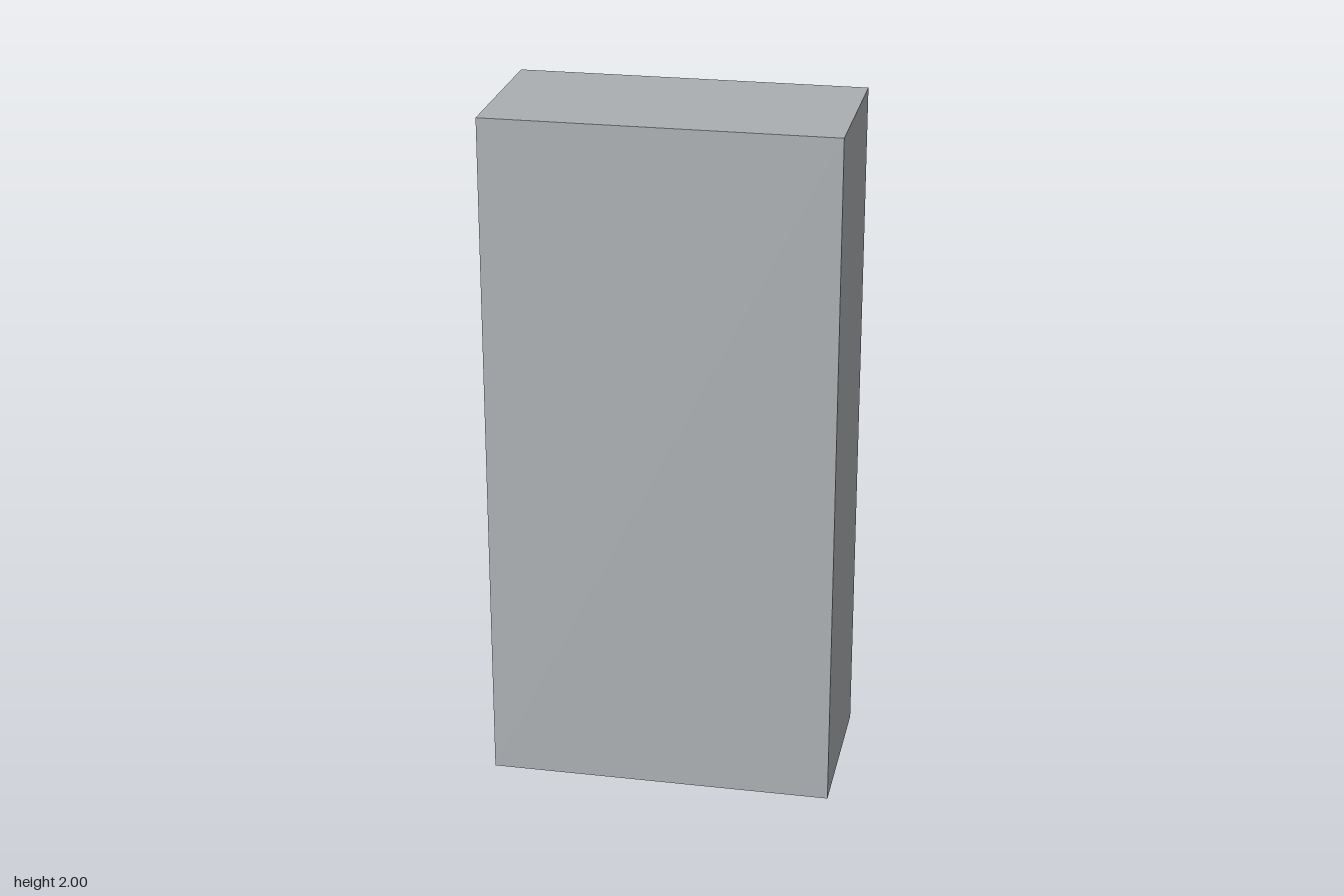
import * as THREE from 'three';

// Steel office cupboard; its doors are on the -z side.
export function createModel() {
  const model = new THREE.Group();
  model.name = 'cupboard';
  const mat = (name, color) => {
    const m = new THREE.MeshStandardMaterial({ color });
    m.name = name;
    return m;
  };
  const steel = mat('grey steel', 0xabafb2);
  const shade = mat('plinth grey', 0x7c8083);
  const dark = mat('dark grip', 0x505457);

  const add = (name, geo, m, parent = model) => {
    const mesh = new THREE.Mesh(geo, m);
    mesh.name = name;
    parent.add(mesh);
    return mesh;
  };
  // box given by its limits on each axis
  const box = (name, x0, x1, y0, y1, z0, z1, m = steel, parent = model) => {
    const mesh = add(name, new THREE.BoxGeometry(x1 - x0, y1 - y0, z1 - z0), m, parent);
    mesh.position.set((x0 + x1) / 2, (y0 + y1) / 2, (z0 + z1) / 2);
    return mesh;
  };
  // rectangular frame with a rectangular opening
  const frame = (name, x0, x1, y0, y1, b, z0, z1, parent = model) => {
    const rect = (P, l, r, d, u) => {
      const p = new P();
      p.moveTo(l, d);
      p.lineTo(r, d);
      p.lineTo(r, u);
      p.lineTo(l, u);
      p.closePath();
      return p;
    };
    const s = rect(THREE.Shape, x0, x1, y0, y1);
    s.holes.push(rect(THREE.Path, x0 + b, x1 - b, y0 + b, y1 - b));
    const mesh = add(name, new THREE.ExtrudeGeometry(s, { depth: z1 - z0, bevelEnabled: false }), steel, parent);
    mesh.position.z = z0;
  };

  // carcass and its front rim
  box('carcass', -0.5, 0.5, 0, 2, -0.19, 0.27);
  frame('frontRim', -0.5, 0.5, 0, 2, 0.018, -0.23, -0.19);
  box('topTrack', -0.482, 0.482, 1.965, 1.975, -0.22, -0.19);
  box('topRail', -0.482, 0.482, 1.95, 1.965, -0.226, -0.19);
  box('plinth', -0.482, 0.482, 0.018, 0.06, -0.215, -0.19, shade);
  box('bottomRail', -0.482, 0.482, 0.06, 0.072, -0.228, -0.19);
  // divider between the upper and lower compartments
  box('dividerRail', -0.482, 0.482, 1.03, 1.05, -0.229, -0.19);
  box('dividerTrack', -0.482, 0.482, 1.05, 1.062, -0.215, -0.19);

  // upper sliding doors, one behind the other
  const upper = (name, x0, x1, z) => {
    const g = new THREE.Group();
    g.name = name;
    model.add(g);
    box('panel', x0 + 0.01, x1 - 0.01, 1.07, 1.94, z + 0.005, z + 0.012, steel, g);
    frame('doorFrame', x0, x1, 1.062, 1.95, 0.02, z, z + 0.012, g);
    return g;
  };
  const rear = upper('rearSlidingDoor', 0.0, 0.482, -0.208);
  box('middleRail', 0.02, 0.462, 1.497, 1.513, -0.208, -0.2, steel, rear);
  upper('frontSlidingDoor', -0.482, 0.012, -0.224);
  box('rearDoorGrip', 0.04, 0.053, 1.46, 1.57, -0.235, -0.207, dark);
  box('frontDoorGrip', -0.053, -0.04, 1.46, 1.57, -0.235, -0.223, dark);

  // lower hinged doors with vents and bow handles
  for (const s of [1, -1]) {
    const g = new THREE.Group();
    g.name = s > 0 ? 'leftLowerDoor' : 'rightLowerDoor';
    model.add(g);
    const span = (name, a, b, y0, y1, z0, z1, m) =>
      box(name, Math.min(s * a, s * b), Math.max(s * a, s * b), y0, y1, z0, z1, m, g);
    span('door', 0.012, 0.48, 0.078, 1.02, -0.229, -0.19);
    span('raisedPanel', 0.025, 0.465, 0.09, 1.008, -0.231, -0.228);
    for (let i = 0; i < 5; i++) {
      const y = 0.717 + i * 0.024;
      span('louvre', 0.103, 0.39, y, y + 0.012, -0.235, -0.23);
      span('ventSlot', 0.103, 0.39, y - 0.005, y, -0.2325, -0.23, dark);
    }
    const grip = add('handleBar', new THREE.CylinderGeometry(0.0065, 0.0065, 0.126, 16), steel, g);
    grip.position.set(s * 0.033, 0.839, -0.262);
    for (const y of [0.786, 0.892]) {
      const post = add('handlePost', new THREE.CylinderGeometry(0.005, 0.005, 0.032, 12), steel, g);
      post.rotation.x = Math.PI / 2;
      post.position.set(s * 0.033, y, -0.246);
    }
  }

  // latch and lock at the head of the lower doors
  box('latch', -0.009, 0.009, 0.97, 1.01, -0.238, -0.19);
  const lock = add('lock', new THREE.CylinderGeometry(0.008, 0.008, 0.006, 16), steel);
  lock.rotation.x = Math.PI / 2;
  lock.position.set(-0.06, 0.98, -0.232);

  return model;
}
